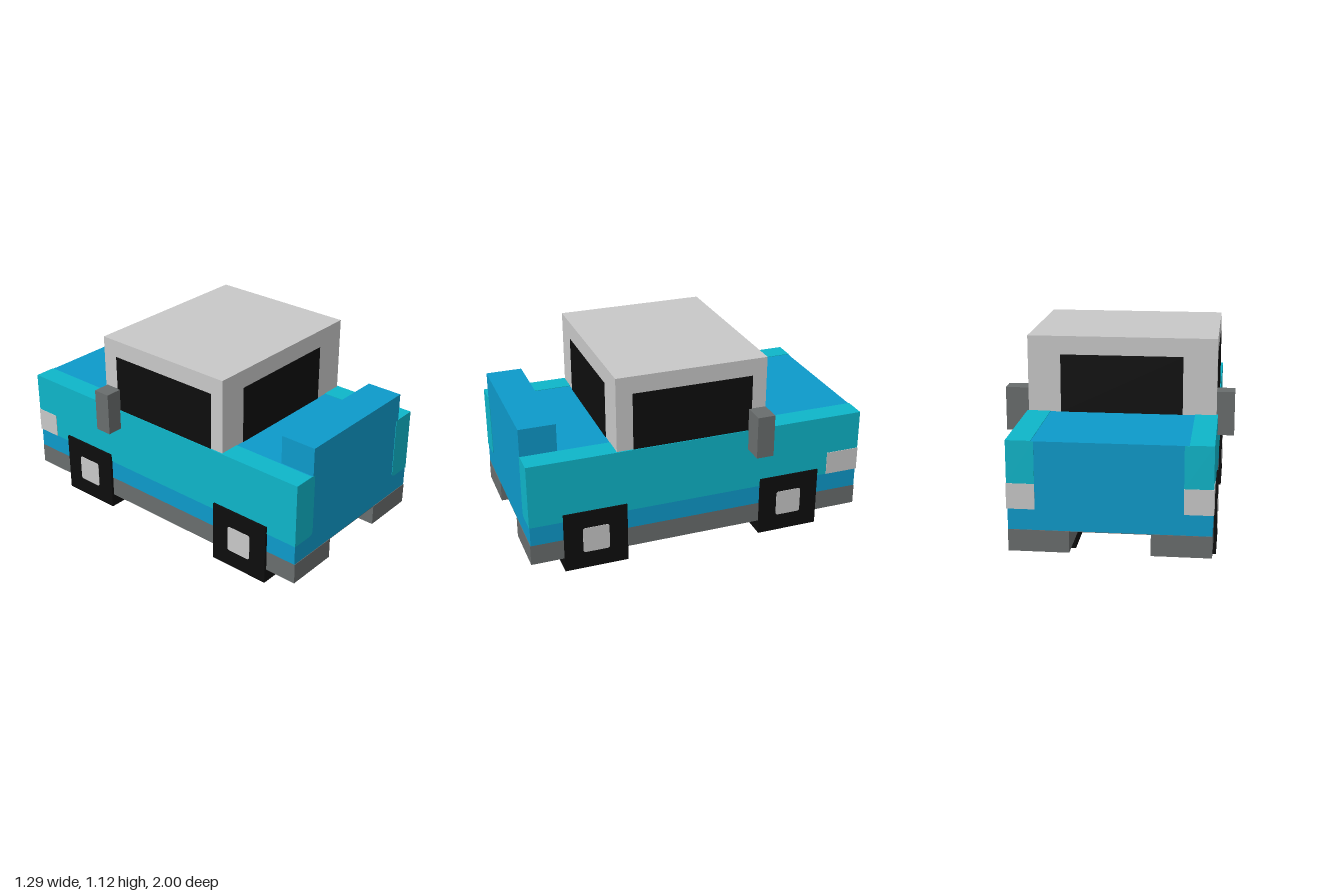
import * as THREE from 'three';

const material = (name, color) => Object.assign(new THREE.MeshStandardMaterial({ color }), { name });

export function createModel() {
  const teal = material('teal', 0x0eb5c9);
  const blue = material('blue', 0x0d9aca);
  const grey = material('grey', 0x696d6d);
  const light = material('light grey', 0xc8c8c8);
  const black = material('black', 0x0d0d0d);
  const car = new THREE.Group();
  car.name = 'car';
  const T = 0.003; // thickness of painted plates
  const L = -0.555, R = 0.52, DECK = 0.685; // body sides and deck height

  // Box given by its extents along each axis
  function block(name, mat, [x0, x1], [y0, y1], [z0, z1]) {
    const mesh = new THREE.Mesh(new THREE.BoxGeometry(x1 - x0, y1 - y0, z1 - z0), mat);
    mesh.position.set((x0 + x1) / 2, (y0 + y1) / 2, (z0 + z1) / 2);
    mesh.name = name;
    car.add(mesh);
    return mesh;
  }
  // Thin plate cut from an outline
  function plate(name, mat, shape) {
    const mesh = new THREE.Mesh(new THREE.ExtrudeGeometry(shape, { depth: T, bevelEnabled: false, curveSegments: 4 }), mat);
    mesh.name = name;
    car.add(mesh);
    return mesh;
  }

  // Body, spoiler and cab
  block('body', blue, [L, R], [0.2, DECK], [-0.997, 0.997]);
  block('spoiler', blue, [-0.42, 0.39], [DECK, 0.85], [0.79, 1]);
  block('cab', light, [-0.55, 0.515], [DECK, 1.12], [-0.39, 0.49]);
  block('frontWindow', black, [-0.375, 0.315], [DECK, 1.015], [0.49, 0.49 + T]);
  block('backWindow', black, [-0.36, 0.33], [DECK, 1.015], [-0.39 - T, -0.39]);
  block('rightWindow', black, [-0.55 - T, -0.55], [DECK, 1.02], [-0.295, 0.41]);
  block('leftWindow', black, [0.515, 0.515 + T], [DECK, 1.02], [-0.305, 0.395]);

  // Underside between the sills
  block('floor', grey, [-0.24, 0.2], [0.2 - T, 0.2], [-0.997, 0.997]);

  const hub = new THREE.Shape();
  const a = 0.077, r = 0.015;
  hub.moveTo(-a + r, -a).lineTo(a - r, -a).quadraticCurveTo(a, -a, a, -a + r)
    .lineTo(a, a - r).quadraticCurveTo(a, a, a - r, a)
    .lineTo(-a + r, a).quadraticCurveTo(-a, a, -a, a - r)
    .lineTo(-a, -a + r).quadraticCurveTo(-a, -a, -a + r, -a);

  const sides = [
    { s: 1, name: 'left', edge: R, sill: 0.195, top: 0.39, corner: 0.375, wheel: [0.2, 0.53], mirror: [0.515, 0.645], mz: [-0.39, -0.288], lamp: -0.8 },
    { s: -1, name: 'right', edge: L, sill: -0.235, top: -0.43, corner: -0.405, wheel: [-0.57, -0.24], mirror: [-0.65, -0.55], mz: [-0.38, -0.278], lamp: -0.85 },
  ];
  for (const p of sides) {
    const span = (u, v) => [Math.min(u, v), Math.max(u, v)];
    const out = p.edge + p.s * T;

    block(p.name + 'Sill', grey, span(p.edge, p.sill), [0.08, 0.2], [-1, 1]);
    block(p.name + 'Mirror', grey, p.mirror, [0.57, 0.82], p.mz);

    // Teal paint wrapping the flank, the deck edge and the corners
    block(p.name + 'Flank', teal, span(p.edge, out), [0.315, DECK + T], [-1, 1]);
    block(p.name + 'DeckStripe', teal, span(p.edge, p.top), [DECK, DECK + T], [-1, 1]);
    block(p.name + 'BackCorner', teal, span(p.edge, p.corner), [0.455, DECK], [-1, -0.997]);
    const k = p.corner + p.s * 0.03;
    const corner = new THREE.Shape();
    corner.moveTo(p.edge, DECK).lineTo(p.edge, 0.315).lineTo(k, 0.315)
      .quadraticCurveTo(p.corner, 0.315, p.corner, 0.345).lineTo(p.corner, DECK);
    plate(p.name + 'FrontCorner', teal, corner).position.z = 0.997;

    // Lamp wrapping round the back corner
    block(p.name + 'LampBack', light, span(out, p.corner), [0.315, 0.455], [-1.001, -0.997]);
    block(p.name + 'LampSide', light, span(p.edge, out + p.s * T), [0.315, 0.455], [-1.001, p.lamp]);

    // Square wheels with hubs
    for (const z of [0.625, -0.555]) {
      const end = z > 0 ? 'Front' : 'Back';
      block(p.name + end + 'Wheel', black, p.wheel, [0, 0.36], [z - 0.185, z + 0.185]);
      const cap = plate(p.name + end + 'Hub', light, hub);
      cap.rotation.y = p.s * Math.PI / 2;
      cap.position.set(p.s > 0 ? p.wheel[1] : p.wheel[0], 0.18, z);
    }
  }
  return car;
}
